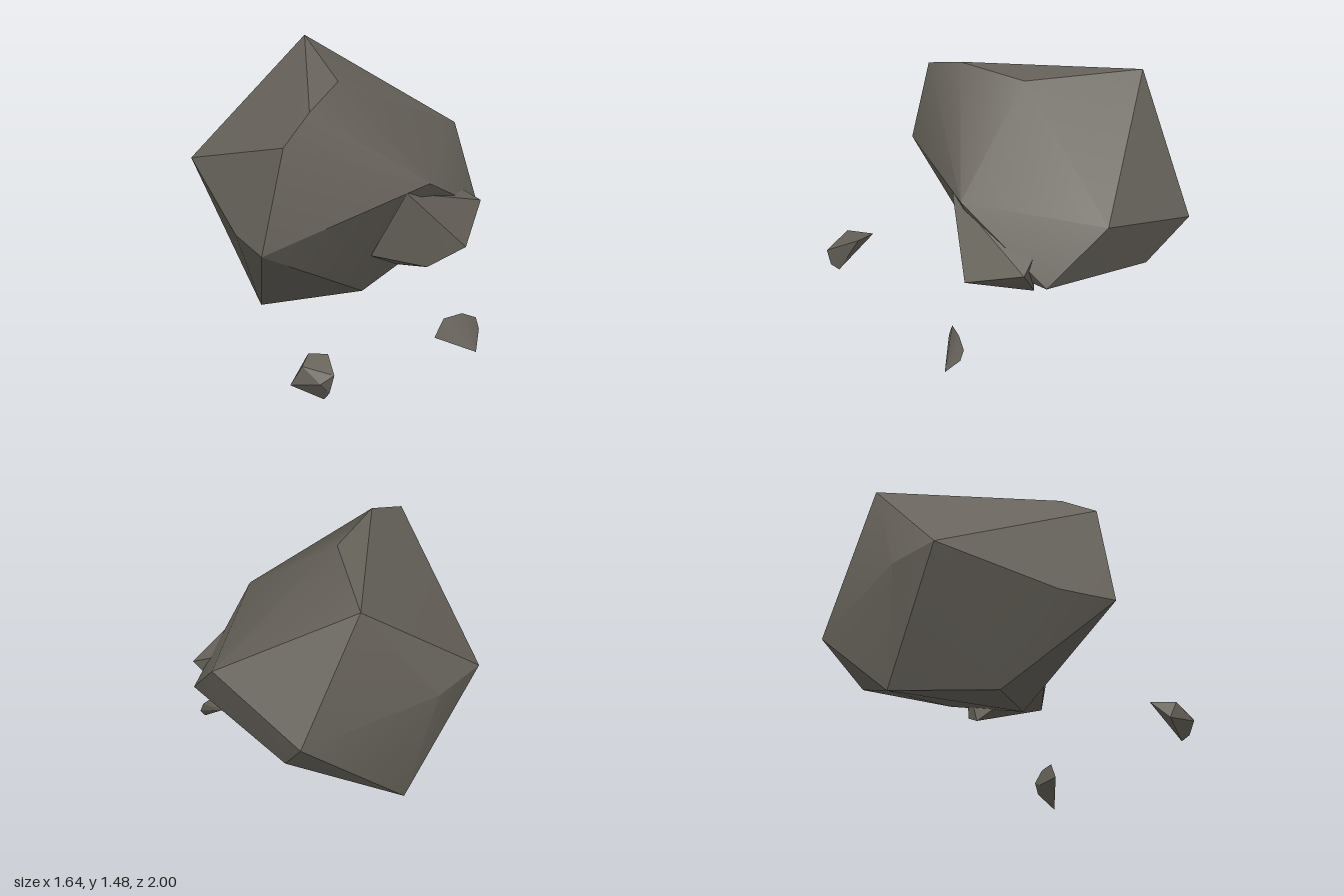
import * as THREE from 'three';
import { toCreasedNormals } from 'three/addons/utils/BufferGeometryUtils.js';
import { ConvexGeometry } from 'three/addons/geometries/ConvexGeometry.js';

const stone = new THREE.MeshStandardMaterial({ color: 0x68645c });
stone.name = 'stone grey';

// A faceted rock: hull of its corners, with only shallow bends smoothed
function rock(name, corners, crease) {
  const hull = new ConvexGeometry(corners.map((c) => new THREE.Vector3(...c)));
  const mesh = new THREE.Mesh(toCreasedNormals(hull, crease), stone);
  mesh.name = name;
  return mesh;
}

export function createModel() {
  const group = new THREE.Group();
  group.name = 'floatingRocks';

  // Large boulder
  group.add(rock('boulder', [
    // crown
    [-0.33, 1.48, -0.62], [0.02, 1.45, -0.08], [-0.02, 1.42, 0.33], [-0.10, 1.29, 0.56],
    // widest belt
    [-0.82, 0.90, -0.12], [-0.40, 0.71, 0.45], [-0.18, 0.70, 0.70], [0.57, 0.96, 0.03],
    [0.67, 0.63, -0.54], [0.46, 0.99, -0.81], [-0.13, 0.75, -1.0], [-0.33, 0.77, -0.78],
    [-0.70, 0.86, -0.40],
    // underside
    [-0.53, 0.19, -0.49], [-0.36, 0.18, 0.10], [0.19, 0.30, 0.04], [0.03, 0.49, -0.82],
  ], 0.5));

  // Chunk stuck in the boulder's side
  group.add(rock('sideChunk', [
    [0.47, 0.93, 0.13], [0.62, 0.76, -0.43], [0.72, 0.71, -0.43], [0.74, 0.57, -0.08],
    [0.55, 0.47, 0.02], [0.27, 0.55, 0.14], [0.29, 0.40, -0.15], [0.32, 0.35, -0.27],
    [0.50, 0.46, -0.38],
  ], 0.4));

  // Loose pebbles below
  group.add(rock('frontPebble', [
    [0.05, 0.07, 0.93], [0.11, 0.21, 0.79], [0.12, 0.19, 0.94], [0.23, 0.23, 0.82],
    [0.31, 0.17, 0.97], [0.24, 0.12, 1.0], [0.28, 0.06, 0.96], [0.24, 0.01, 0.93],
  ], 0.4));
  group.add(rock('sidePebble', [
    [0.61, 0.09, 0.08], [0.65, 0.19, 0.04], [0.73, 0.20, -0.04], [0.79, 0.16, -0.10],
    [0.81, 0.10, -0.09], [0.82, 0, 0], [0.70, 0.10, -0.04],
  ], 0.4));

  return group;
}
